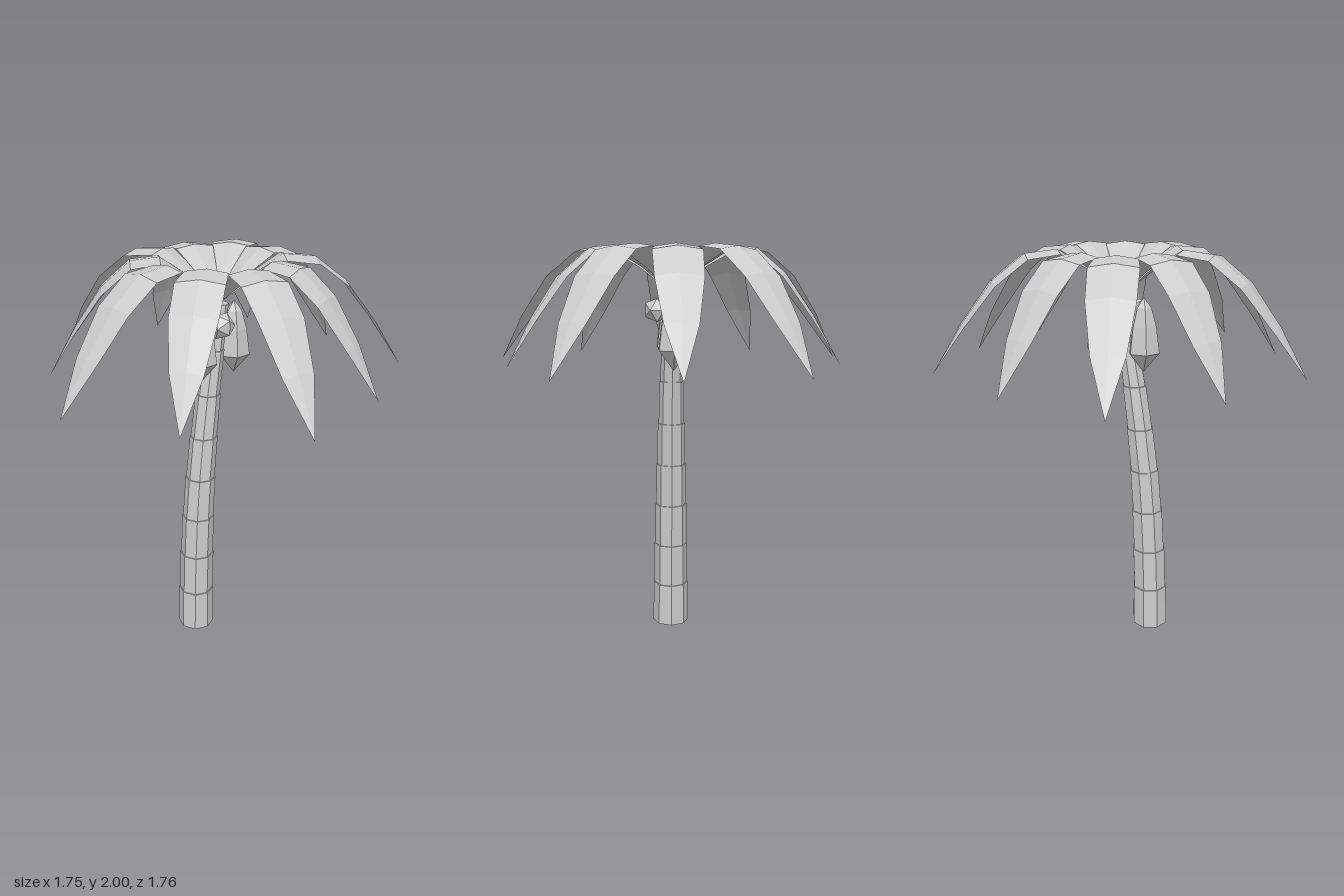
import * as THREE from 'three';

const CROWN_X = 0.045;

// flat-shaded geometry from rings of equal length
function loft(rings, closed) {
  const pos = [], index = [], n = rings[0].length;
  rings.forEach(r => r.forEach(p => pos.push(...p)));
  for (let i = 0; i < rings.length - 1; i++) {
    for (let j = 0; j < (closed ? n : n - 1); j++) {
      const a = i * n + j, b = i * n + (j + 1) % n;
      index.push(a, a + n, b, b, a + n, b + n);
    }
  }
  const g = new THREE.BufferGeometry();
  g.setAttribute('position', new THREE.Float32BufferAttribute(pos, 3));
  g.setIndex(index);
  const flat = g.toNonIndexed();
  flat.computeVertexNormals();
  return flat;
}

// eight-sided horizontal ring
function ring(x, y, r) {
  return Array.from({ length: 8 }, (_, j) => {
    const a = j * Math.PI / 4;
    return [x + r * Math.cos(a), y, r * Math.sin(a)];
  });
}

// curved trunk: eight segments with a tiny ledge at each joint
function trunkGeometry() {
  const xs = [-0.115, -0.112, -0.105, -0.094, -0.077, -0.052, -0.022, 0.014, 0.053];
  const rs = [0.095, 0.092, 0.088, 0.083, 0.077, 0.07, 0.062, 0.053, 0.044];
  const rings = [ring(xs[0], 0, 0)];
  xs.forEach((x, i) => {
    const y = i * 0.2213;
    rings.push(ring(x, y, rs[i]));
    if (i > 0 && i < 8) rings.push(ring(x, y + 0.001, rs[i] - 0.004));
  });
  rings.push(ring(xs[8], 1.77, 0));
  return loft(rings, true);
}

// arching leaf along +x with a raised midrib
function frondGeometry(length) {
  const ys = [1.77, 1.905, 2.0, 1.985, 1.868, 1.67, 1.43];
  const ws = [0, 0.056, 0.099, 0.113, 0.108, 0.075, 0];
  const rows = ys.map((y, i) => {
    const x = length * i / 6, w = ws[i], drop = w * 0.15;
    return [[x, y - drop, -w], [x, y, 0], [x, y - drop, w]];
  });
  return loft(rows.map(r => r.reverse()), false);
}

export function createModel() {
  const model = new THREE.Group();
  const grey = new THREE.MeshStandardMaterial({ color: 0xcccccc });
  grey.name = 'light grey';
  grey.flatShading = true;
  grey.side = THREE.DoubleSide;

  const add = (name, geometry, x = 0, y = 0, z = 0) => {
    const mesh = new THREE.Mesh(geometry, grey);
    mesh.name = name;
    mesh.position.set(x, y, z);
    model.add(mesh);
    return mesh;
  };

  add('trunk', trunkGeometry());

  // ten fronds, alternately short and long
  const short = frondGeometry(0.827), long = frondGeometry(0.925);
  for (let i = 0; i < 10; i++) {
    add('frond', i % 2 ? long : short, CROWN_X).rotation.y = i * Math.PI / 5;
  }

  // hanging pods on either side of the trunk
  const profile = [[0, 1.4], [0.083, 1.5], [0.066, 1.63], [0.04, 1.72], [0, 1.77]]
    .map(p => new THREE.Vector2(...p));
  const pod = new THREE.LatheGeometry(profile, 6, Math.PI / 6 * 3).toNonIndexed();
  for (const s of [-1, 1]) add('pod', pod, CROWN_X - 0.005 + s * 0.11);

  // small nuts in front and behind
  const nut = new THREE.IcosahedronGeometry(0.067, 0);
  add('nut', nut, -0.005, 1.687, 0.075);
  add('nut', nut, 0.095, 1.687, -0.075);

  return model;
}
